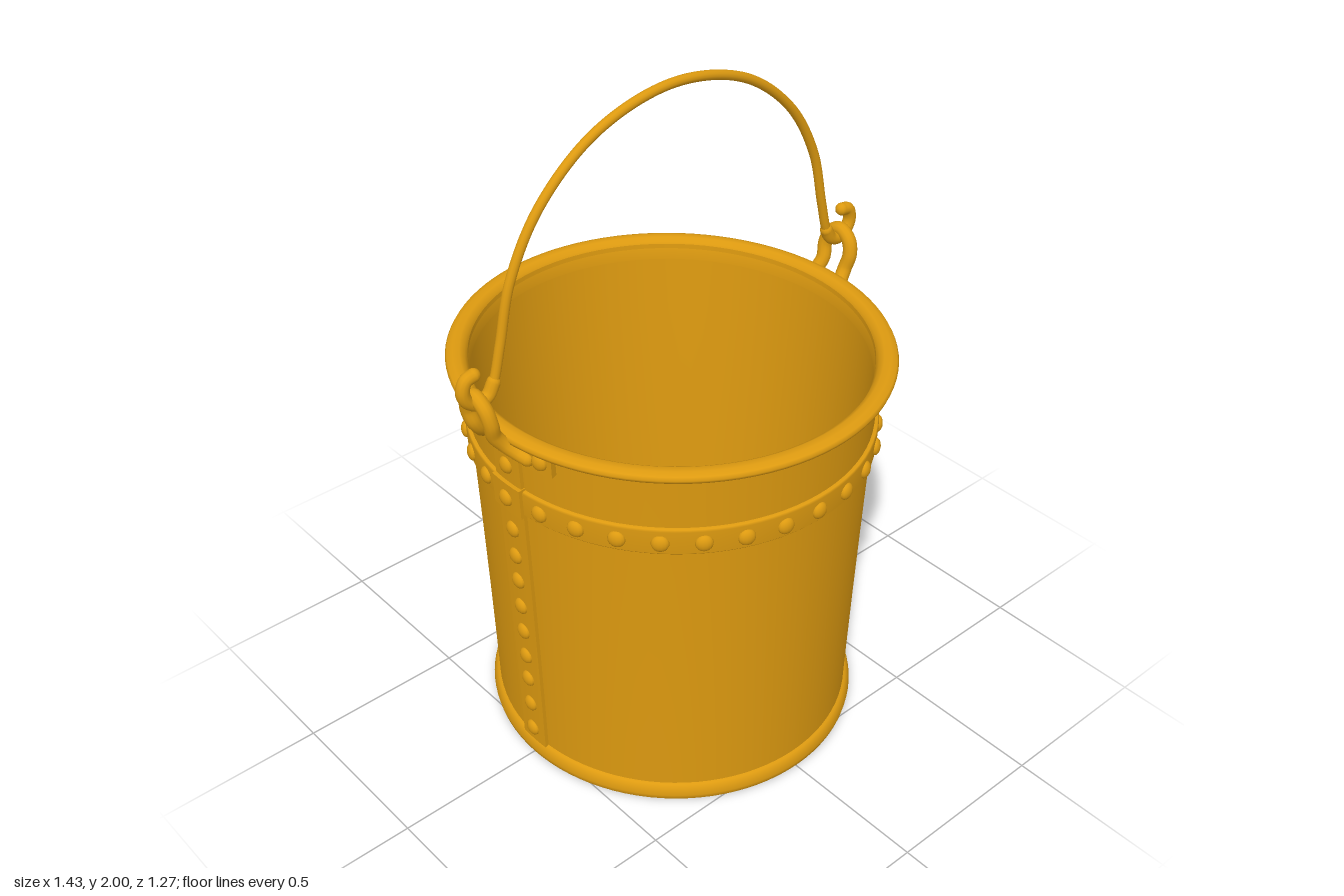
import * as THREE from 'three';

const material = new THREE.MeshStandardMaterial({ color: 0xdd9a10 });
const SQUASH = 0.975; // the bucket is slightly narrower across x

// outer wall radius at height y
const wall = (y) => 0.542 + 0.03 * (y / 1.15) + 0.013 * (y / 1.15) ** 2;

function add(parent, name, geometry) {
  const mesh = new THREE.Mesh(geometry, material);
  mesh.name = name;
  parent.add(mesh);
  return mesh;
}

// profile revolved about y; points run upward on the outside
function lathe(points, segments = 96) {
  return new THREE.LatheGeometry(points.map(([r, y]) => new THREE.Vector2(r, y)), segments);
}

// flat plate bent around the wall: angle a, half width w, heights y0..y1, thickness t
function bentPlate(a, w, y0, y1, t) {
  const g = new THREE.BoxGeometry(2 * w, y1 - y0, t, 6, 12, 1);
  const p = g.attributes.position;
  for (let i = 0; i < p.count; i++) {
    const y = p.getY(i) + (y0 + y1) / 2;
    const r = wall(y) + (p.getZ(i) > 0 ? t : -0.008);
    const b = a + p.getX(i) / 0.57;
    p.setXYZ(i, Math.sin(b) * r, y, Math.cos(b) * r);
  }
  g.computeVertexNormals();
  return g;
}

// domed rivet head standing on the wall
function rivet(parent, a, y, lift, size = 0.025) {
  const m = add(parent, 'rivet', new THREE.SphereGeometry(size, 14, 10));
  const r = wall(y) + lift;
  m.position.set(Math.sin(a) * r, y, Math.cos(a) * r);
  m.rotation.y = a;
  m.scale.z = 0.6;
}

// round wire through points, with rounded ends
function wire(parent, name, points, radius, segments) {
  const group = new THREE.Group();
  group.name = name;
  const v = points.map((q) => new THREE.Vector3(...q));
  const curve = new THREE.CatmullRomCurve3(v, false, 'centripetal');
  add(group, name + 'Wire', new THREE.TubeGeometry(curve, segments, radius, 12));
  for (const end of [v[0], v[v.length - 1]]) {
    add(group, name + 'End', new THREE.SphereGeometry(radius, 12, 8)).position.copy(end);
  }
  parent.add(group);
}

export function createModel() {
  const model = new THREE.Group();
  model.name = 'bucket';
  const body = new THREE.Group();
  body.name = 'body';
  body.scale.x = SQUASH;
  model.add(body);

  // wall with underside, inner face and floor
  add(body, 'outerWall', lathe([0.03, 0.2, 0.4, 0.6, 0.8, 1, 1.19].map((y) => [wall(y), y])));
  add(body, 'innerWall', lathe([1.21, 1, 0.8, 0.6, 0.4, 0.2, 0.04].map((y) => [wall(y) - 0.018, y])));
  const floor = add(body, 'floor', new THREE.CircleGeometry(0.53, 96));
  floor.rotation.x = -Math.PI / 2;
  floor.position.y = 0.04;
  const base = add(body, 'base', new THREE.CircleGeometry(0.55, 96));
  base.rotation.x = Math.PI / 2;
  base.position.y = 0.006;

  // foot ring and rolled rim
  add(body, 'footRing', lathe([
    [0.545, 0.004], [0.553, 0], [0.56, 0.005], [0.563, 0.02], [0.558, 0.04], [0.55, 0.05], [0.54, 0.054]]));
  add(body, 'rim', lathe([
    [0.58, 1.16], [0.588, 1.185], [0.605, 1.193], [0.62, 1.193], [0.63, 1.198], [0.633, 1.207],
    [0.628, 1.216], [0.612, 1.222], [0.592, 1.222], [0.578, 1.213], [0.569, 1.195], [0.566, 1.16]]));

  // riveted band
  add(body, 'band', lathe([
    [wall(0.935) - 0.005, 0.935], [wall(0.935) + 0.009, 0.936], [wall(0.94) + 0.013, 0.941],
    [wall(1.01) + 0.013, 1.012], [wall(1.02) + 0.009, 1.018], [wall(1.02) - 0.005, 1.019]]));
  const count = 32;
  for (let i = 0; i < count; i++) {
    const side = i % (count / 2) === count / 4;
    rivet(body, (i / count) * Math.PI * 2, 0.975, side ? 0.024 : 0.013);
  }

  for (const s of [1, -1]) {
    const a = (s * Math.PI) / 2;

    // seam strap, stepping over the band
    add(body, 'seamStrap', bentPlate(a, 0.052, 0.05, 1.185, 0.012));
    add(body, 'strapStep', bentPlate(a, 0.055, 0.93, 1.025, 0.024));
    for (const y of [0.1, 0.2, 0.3, 0.39, 0.485, 0.58, 0.675, 0.765, 0.86, 1.08, 1.17]) {
      rivet(body, a, y, 0.012);
    }

    // lug feet and the loop standing out from the wall
    for (const k of [1, -1]) {
      add(body, 'lugFoot', bentPlate(a + k * 0.2, 0.056, 1.125, 1.195, 0.02));
      rivet(body, a + k * 0.235, 1.162, 0.02, 0.024);
    }
    const half = [[0.58, 1.155, 0.1], [0.592, 1.165, 0.075], [0.615, 1.19, 0.052], [0.64, 1.225, 0.044],
      [0.652, 1.27, 0.05], [0.658, 1.31, 0.037]];
    const loop = [...half, [0.66, 1.332, 0], ...half.map(([x, y, z]) => [x, y, -z]).reverse()];
    wire(model, 'handleLug', loop.map(([x, y, z]) => [s * x, y, z]), 0.021, 72);
  }

  // arched handle with a hook at each end
  const arm = [[0.66, 1.397, 0], [0.685, 1.39, 0], [0.696, 1.36, 0], [0.686, 1.33, 0], [0.655, 1.308, 0],
    [0.62, 1.318, 0], [0.6, 1.35, 0], [0.573, 1.45, 0], [0.53, 1.62, 0], [0.43, 1.79, 0], [0.25, 1.93, 0]];
  const arch = [...arm, [0, 1.987, 0], ...arm.map(([x, y, z]) => [-x, y, z]).reverse()];
  wire(model, 'handle', arch, 0.0135, 200);
  // thicker wire at the hooks
  for (const s of [1, -1]) {
    wire(model, 'hook', arm.slice(0, 7).map(([x, y, z]) => [s * x, y, z]), 0.019, 40);
  }
  return model;
}
